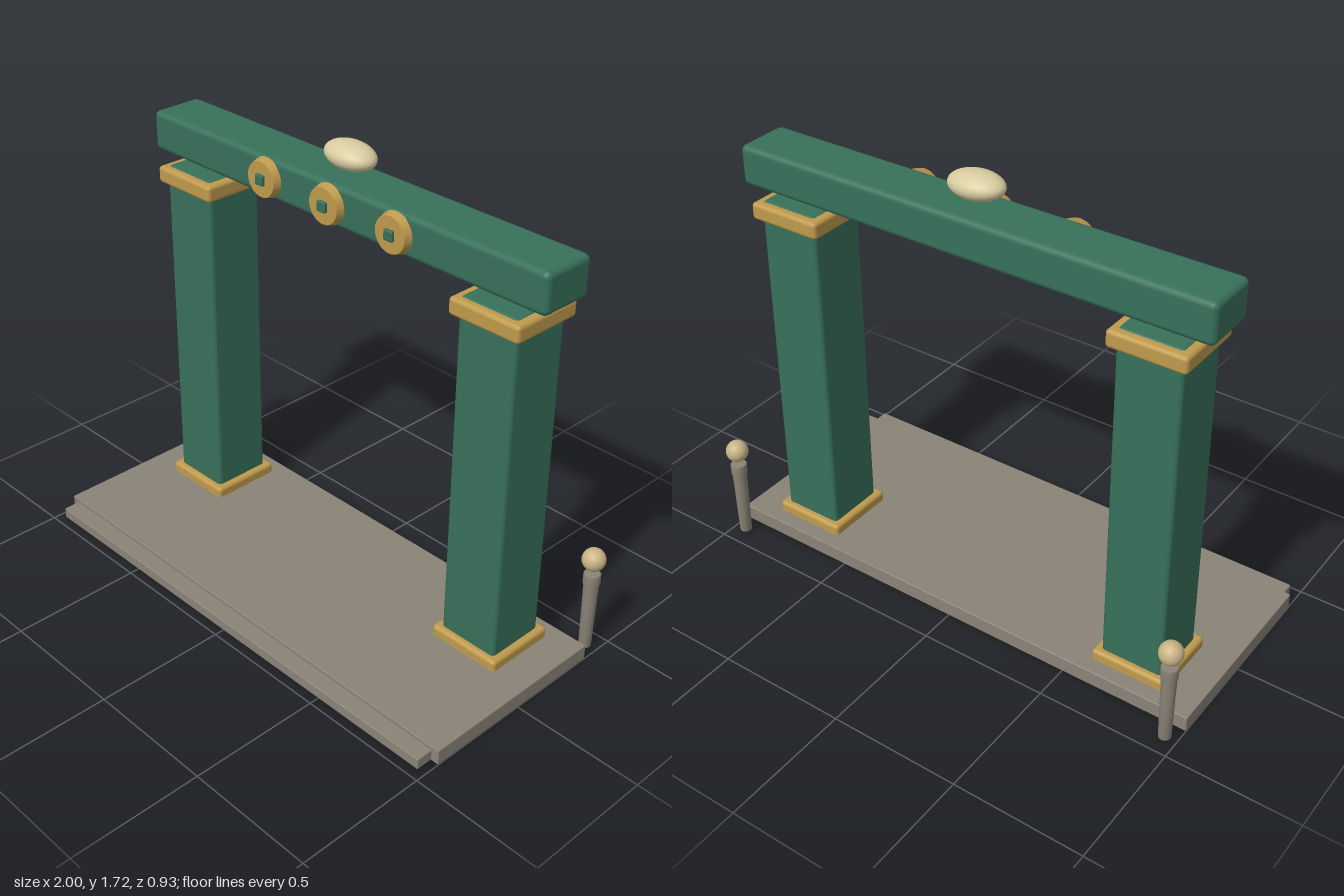
import * as THREE from 'three';
import { RoundedBoxGeometry } from 'three/addons/geometries/RoundedBoxGeometry.js';

const mat = (color) => new THREE.MeshStandardMaterial({ color });

export function createModel() {
  const model = new THREE.Group();
  model.name = 'gateway';
  const green = mat(0x37705a), gold = mat(0xbf9a4c), stone = mat(0x8a8377);
  const cream = mat(0xd8cba0), tan = mat(0xcab486);

  const add = (name, geometry, material, x, y, z) => {
    const mesh = new THREE.Mesh(geometry, material);
    mesh.name = name;
    mesh.position.set(x, y, z);
    model.add(mesh);
    return mesh;
  };
  // Rounded block given by its extents on each axis
  const block = (name, material, [x0, x1], [y0, y1], [z0, z1], r) =>
    add(name, new RoundedBoxGeometry(x1 - x0, y1 - y0, z1 - z0, 3, r), material,
      (x0 + x1) / 2, (y0 + y1) / 2, (z0 + z1) / 2);

  // Paved base with a lower step along the front
  block('baseSlab', stone, [-1, 1], [0, 0.06], [-0.365, 0.4], 0.004);
  block('frontStep', stone, [-0.97, 0.97], [0.002, 0.045], [0.36, 0.465], 0.004);

  for (const [side, s] of [['left', 1], ['right', -1]]) {
    const span = (half) => [s * 0.725 - half, s * 0.725 + half];
    // Square pillar with gold foot and capital
    block(side + 'Pillar', green, span(0.12), [0.004, 1.414], [-0.28, -0.042], 0.016);
    block(side + 'PillarFoot', gold, span(0.145), [0.035, 0.1], [-0.305, -0.018], 0.015);
    block(side + 'Capital', gold, span(0.145), [1.345, 1.41], [-0.305, -0.018], 0.015);

    // Tapered post behind the base, with a ball floating above it
    const profile = [[0, 0.004], [0.023, 0.004], [0.026, 0.2], [0.028, 0.275], [0.031, 0.28], [0.031, 0.318], [0.028, 0.322], [0, 0.322]];
    add(side + 'Post', new THREE.LatheGeometry(profile.map(([r, y]) => new THREE.Vector2(r, y)), 24),
      stone, s * 0.953, 0, -0.425);
    add(side + 'PostBall', new THREE.SphereGeometry(0.043, 24, 16), tan, s * 0.953, 0.38, -0.425);
  }

  // Crossbeam
  block('crossbeam', green, [-0.933, 0.933], [1.447, 1.598], [-0.27, -0.06], 0.022);

  // Round gold medallions with square studs on the beam's front
  for (const x of [-0.31, 0, 0.31]) {
    const disc = add('medallion', new THREE.CylinderGeometry(0.066, 0.075, 0.03, 32), gold, x, 1.523, -0.047);
    disc.rotation.x = Math.PI / 2;
    block('medallionStud', green, [x - 0.02, x + 0.02], [1.503, 1.543], [-0.06, -0.02], 0.006);
  }

  // Smooth oval stone above the beam
  const oval = add('crowningStone', new THREE.SphereGeometry(1, 32, 20), cream, 0, 1.67, -0.16);
  oval.scale.set(0.106, 0.048, 0.072);
  oval.rotation.z = -0.04;

  return model;
}
